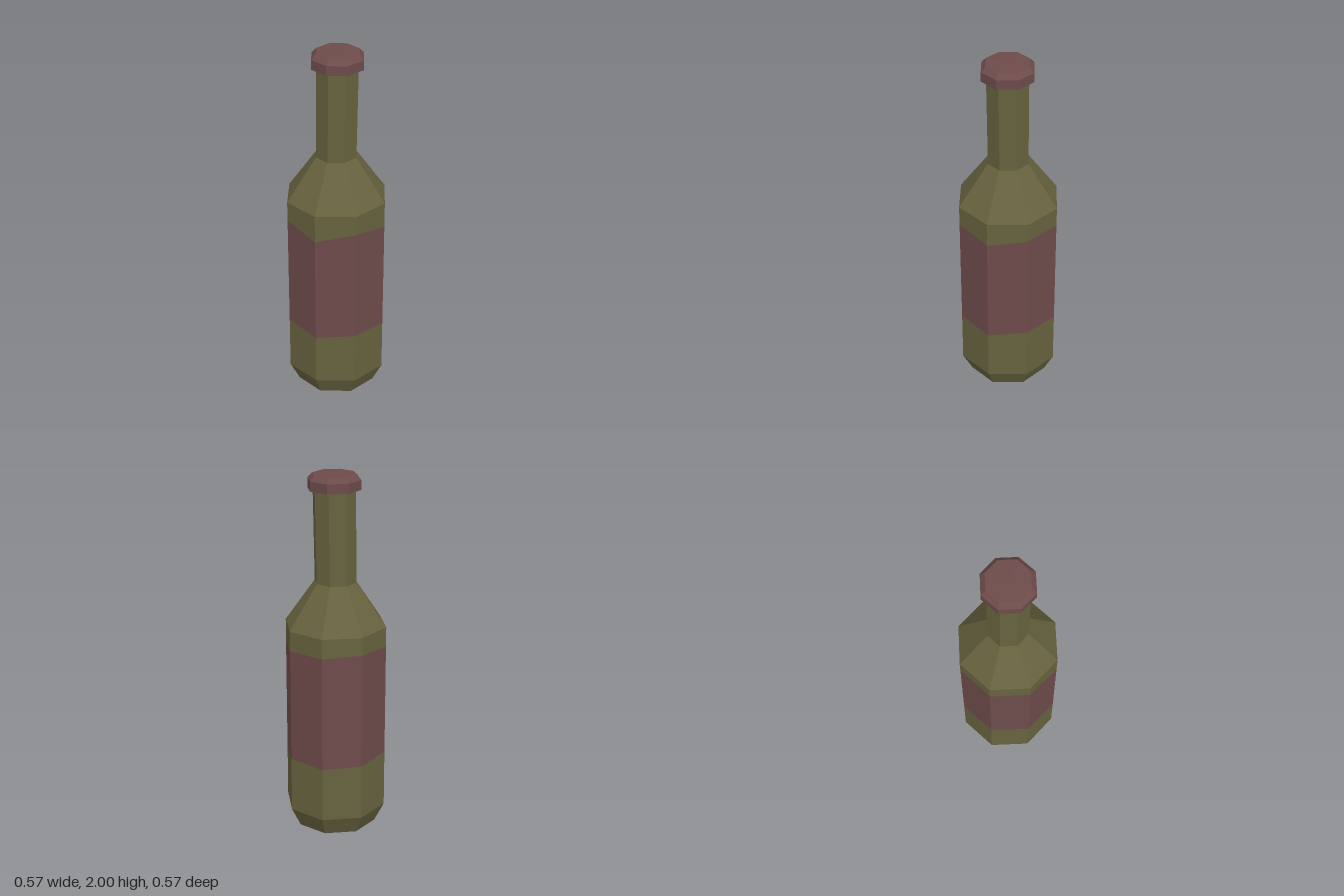
import * as THREE from 'three';

const SIDES = 8;
// Uneven label edges, one height per corner, starting at the front and going towards +x
const labelTop = [1.015, 1.06, 1.03, 1.06, 1.06, 1.07, 1.06, 1.06];
const labelBottom = [0.397, 0.415, 0.403, 0.425, 0.415, 0.425, 0.435, 0.42];
const BODY_R = 0.283;

// Eight-sided lathe; a profile height may be a number or a list with one height per corner
function turned(name, profile, color) {
  const points = profile.map(([r, y]) => new THREE.Vector2(r, Array.isArray(y) ? y[0] : y));
  const geometry = new THREE.LatheGeometry(points, SIDES);
  const pos = geometry.attributes.position;
  for (let i = 0; i <= SIDES; i++) {
    profile.forEach(([, y], j) => {
      const k = i * profile.length + j;
      if (Array.isArray(y)) pos.setY(k, y[i % SIDES]);
      // The neck leans very slightly sideways
      const lean = THREE.MathUtils.clamp((pos.getY(k) - 1.41) / 0.5, 0, 1);
      pos.setX(k, pos.getX(k) + 0.007 * lean);
    });
  }
  geometry.computeVertexNormals();
  const mesh = new THREE.Mesh(
    geometry,
    new THREE.MeshStandardMaterial({ color, flatShading: true })
  );
  mesh.name = name;
  return mesh;
}

export function createModel() {
  const group = new THREE.Group();
  group.name = 'bottle';
  const glass = 0x67633f;
  const red = 0x6e4b4b;

  // Chamfered base and lower glass
  group.add(turned('lowerBody', [[0, 0], [0.228, 0], [BODY_R, 0.11], [BODY_R, labelBottom]], glass));
  // Label band flush with the glass
  group.add(turned('label', [[BODY_R, labelBottom], [BODY_R, labelTop]], red));
  // Upper glass, shoulder and neck
  group.add(turned('shoulderAndNeck', [[BODY_R, labelTop], [BODY_R, 1.17], [0.116, 1.41], [0.118, 1.93]], glass));
  // Cap with a bevelled top
  group.add(turned('cap', [[0, 1.915], [0.146, 1.915], [0.146, 1.968], [0.12, 1.995], [0, 2]], red));

  return group;
}
